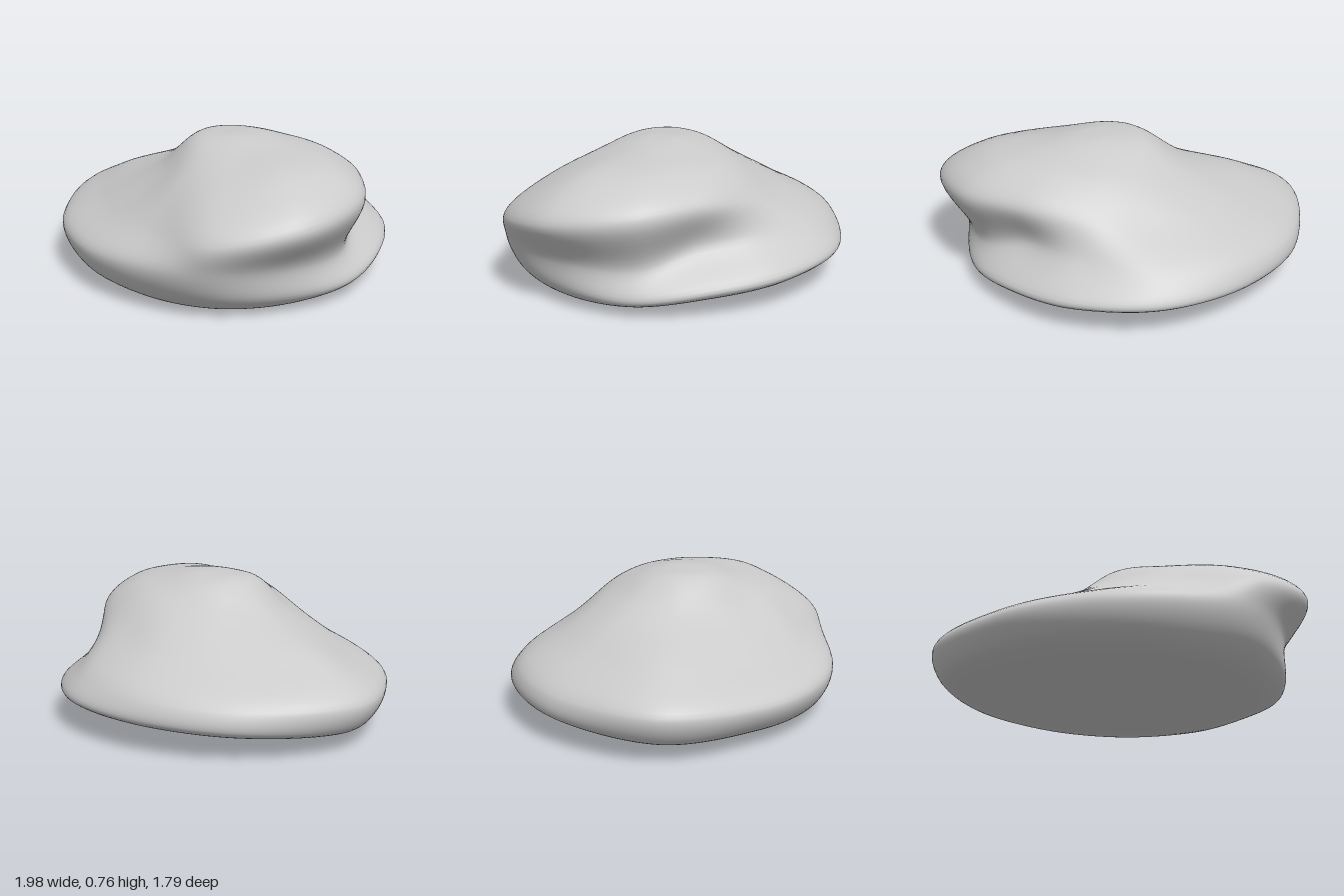
import * as THREE from 'three';

// Cross-sections every 30 degrees, from +x towards +z, as [radius, height]:
// underside edge, lower rim, waist or rim, upper lip, shoulder
const SECTIONS = [
  [[0.59, 0.03], [0.715, 0.09], [0.66, 0.25], [0.77, 0.52], [0.6, 0.66]],
  [[0.6, 0.01], [0.72, 0.09], [0.745, 0.26], [0.88, 0.48], [0.64, 0.655]],
  [[0.64, 0.01], [0.77, 0.1], [0.84, 0.26], [0.86, 0.41], [0.62, 0.59]],
  [[0.66, 0.01], [0.79, 0.1], [0.84, 0.25], [0.69, 0.4], [0.48, 0.585]],
  [[0.7, 0.02], [0.85, 0.09], [0.9, 0.23], [0.7, 0.37], [0.44, 0.555]],
  [[0.8, 0.04], [0.96, 0.1], [1.02, 0.23], [0.76, 0.38], [0.45, 0.56]],
  [[0.95, 0.06], [1.13, 0.11], [1.18, 0.25], [0.93, 0.405], [0.5, 0.57]],
  [[0.9, 0.09], [1.09, 0.15], [1.08, 0.26], [0.78, 0.435], [0.45, 0.61]],
  [[0.83, 0.11], [1.0, 0.17], [0.97, 0.28], [0.7, 0.45], [0.42, 0.62]],
  [[0.75, 0.11], [0.935, 0.18], [0.84, 0.31], [0.6, 0.48], [0.41, 0.635]],
  [[0.66, 0.08], [0.83, 0.17], [0.66, 0.34], [0.58, 0.52], [0.42, 0.655]],
  [[0.6, 0.06], [0.74, 0.14], [0.57, 0.32], [0.63, 0.545], [0.47, 0.67]],
];
const AXIS = new THREE.Vector3(0.2, 0, 0.05);
const AROUND = 144, UP = 72;

function createStoneGeometry() {
  const angle = (i) => (i / SECTIONS.length) * Math.PI * 2;
  const place = (i, r, y) => new THREE.Vector3(
    AXIS.x + r * Math.cos(angle(i)), y, AXIS.z + r * Math.sin(angle(i)));
  // Gently tilted underside
  const floorY = (p) => 0.045 - 0.04 * p.x - 0.06 * p.z;

  // Smooth closed loops through the matching points of all sections
  const loop = (pick) => new THREE.CatmullRomCurve3(SECTIONS.map(pick), true, 'catmullrom', 0.5);
  const loops = [
    loop((s, i) => { const p = place(i, 0.3, 0); p.y = floorY(p); return p; }),
    ...[0, 1, 2, 3, 4].map((k) => loop((s, i) => place(i, ...s[k]))),
    loop((s, i) => place(i, 0.26, 0.719 + 0.012 * Math.cos(2 * angle(i)))),
    loop((s, i) => place(i, 0.1, 0.752)),
  ];
  const bottom = AXIS.clone().setY(floorY(AXIS));
  const top = AXIS.clone().setY(0.757);

  // Run a spline over the loops at each step around the stone
  const pos = [], index = [];
  for (let i = 0; i < AROUND; i++) {
    const profile = new THREE.CatmullRomCurve3(
      [bottom, ...loops.map((l) => l.getPoint(i / AROUND)), top], false, 'centripetal');
    for (let j = 1; j < UP; j++) pos.push(...profile.getPoint(j / UP).toArray());
  }
  const rows = UP - 1, b = AROUND * rows, t = b + 1;
  pos.push(...bottom.toArray(), ...top.toArray());
  for (let i = 0; i < AROUND; i++) {
    const p = i * rows, q = ((i + 1) % AROUND) * rows;
    index.push(b, p, q, t, q + rows - 1, p + rows - 1);
    for (let j = 0; j < rows - 1; j++) {
      index.push(p + j, p + j + 1, q + j, q + j, p + j + 1, q + j + 1);
    }
  }
  const geo = new THREE.BufferGeometry();
  geo.setAttribute('position', new THREE.Float32BufferAttribute(pos, 3));
  geo.setIndex(index);

  // Stand on the ground, centred
  geo.computeBoundingBox();
  const mid = geo.boundingBox.getCenter(new THREE.Vector3());
  geo.translate(-mid.x, -geo.boundingBox.min.y, -mid.z);
  geo.computeVertexNormals();
  return geo;
}

export function createModel() {
  const group = new THREE.Group();
  group.name = 'smoothStone';
  const stone = new THREE.Mesh(createStoneGeometry(), new THREE.MeshStandardMaterial({ color: 0xcccccc }));
  stone.name = 'stone';
  group.add(stone);
  return group;
}
